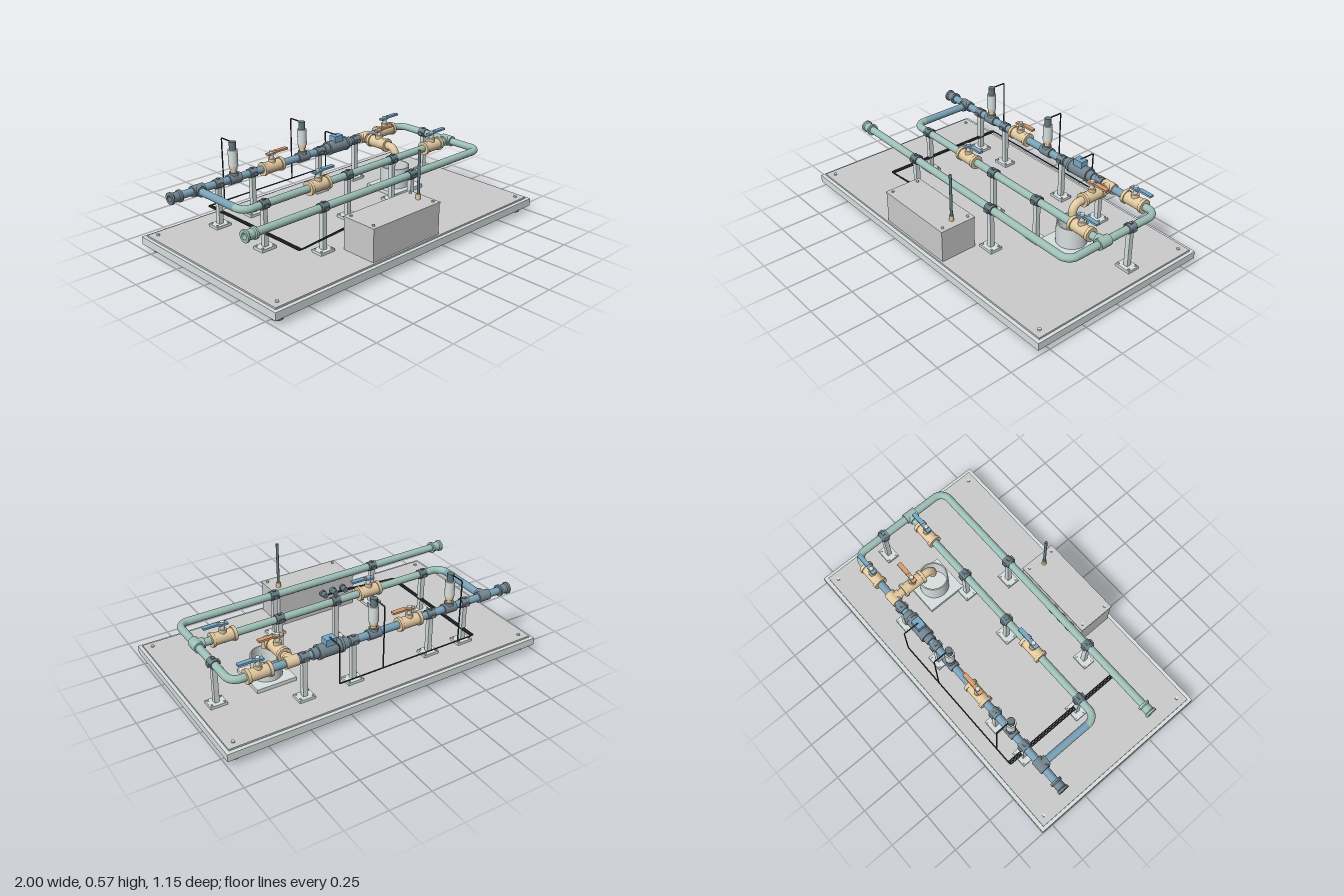
import * as THREE from 'three';

const mat = (color) => new THREE.MeshStandardMaterial({ color });
const M = {
  grey: mat(0xcccccc), light: mat(0xd8e0e0), green: mat(0x9dbfb6), blue: mat(0x7ba2b8),
  tan: mat(0xe2c9a0), slate: mat(0x73858f), dark: mat(0x667880), cable: mat(0x35393c),
  orange: mat(0xd9a070), handle: mat(0x78a9c8),
};
const V = (x, y, z) => new THREE.Vector3(x, y, z);
const UP = V(0, 1, 0);
const PY = 0.347, R = 0.022, FRONT = 0.265, MID = 0.021, BACK = -0.38, RIGHT = 0.865, LEFT = -0.747, TOP = 0.09;

export function createModel() {
  const root = new THREE.Group();

  function add(name, geo, m, parent = root) {
    const mesh = new THREE.Mesh(geo, m);
    mesh.name = name;
    parent.add(mesh);
    return mesh;
  }
  function box(name, w, h, d, x, y, z, m, parent) {
    const b = add(name, new THREE.BoxGeometry(w, h, d), m, parent);
    b.position.set(x, y, z);
    return b;
  }
  // Cylinder between two points
  function rod(name, a, b, r, m, parent, r2 = r, sides = 24) {
    const c = add(name, new THREE.CylinderGeometry(r2, r, a.distanceTo(b), sides), m, parent);
    c.position.copy(a).lerp(b, 0.5);
    c.quaternion.setFromUnitVectors(UP, b.clone().sub(a).normalize());
    return c;
  }
  const alongX = (name, x, z, half, r, m, parent) => rod(name, V(x - half, PY, z), V(x + half, PY, z), r, m, parent);
  const alongZ = (name, x, z, half, r, m, parent) => rod(name, V(x, PY, z - half), V(x, PY, z + half), r, m, parent);
  function group(name, x = 0, y = 0, z = 0) {
    const g = new THREE.Group();
    g.name = name;
    g.position.set(x, y, z);
    root.add(g);
    return g;
  }
  // Straight runs joined by round bends
  function pipe(name, pts, r, bend, m, sides = 24) {
    const g = group(name);
    let start = pts[0];
    for (let i = 1; i < pts.length; i++) {
      if (i === pts.length - 1) { rod(name + 'Run', start, pts[i], r, m, g, r, sides); break; }
      const c = pts[i];
      const u = pts[i - 1].clone().sub(c).normalize(), v = pts[i + 1].clone().sub(c).normalize();
      const a = c.clone().addScaledVector(u, bend), b = c.clone().addScaledVector(v, bend);
      rod(name + 'Run', start, a, r, m, g, r, sides);
      const k = 0.45 * bend;
      const curve = new THREE.CubicBezierCurve3(a, c.clone().addScaledVector(u, k), c.clone().addScaledVector(v, k), b);
      add(name + 'Bend', new THREE.TubeGeometry(curve, sides > 12 ? 14 : 4, r, sides), m, g);
      start = b;
    }
  }

  // Skid: open frame, middle beam, deck plate, feet and bolts
  for (const s of [-1, 1]) {
    box('frameLongRail', 2, 0.045, 0.03, 0, 0.0575, s * 0.5625, M.light);
    box('frameEndRail', 0.03, 0.045, 1.1, s * 0.985, 0.0575, 0, M.light);
    for (const t of [-1, 1]) {
      rod('foot', V(s * 0.935, 0, t * 0.51), V(s * 0.935, 0.036, t * 0.51), 0.032, M.dark);
      rod('footBracket', V(s * 0.935, 0.036, t * 0.51), V(s * 0.935, 0.08, t * 0.51), 0.02, M.dark);
      rod('deckBolt', V(s * 0.935, TOP, t * 0.513), V(s * 0.935, TOP + 0.008, t * 0.513), 0.01, M.light, root, 0.01, 12);
    }
  }
  box('middleBeam', 1.95, 0.04, 0.045, 0, 0.06, 0, M.light);
  box('deckPlate', 1.96, 0.012, 1.11, 0, 0.084, 0, M.grey);

  // Pipe runs
  pipe('returnPipe', [V(-0.9, PY, FRONT), V(RIGHT, PY, FRONT), V(RIGHT, PY, BACK), V(0.76, PY, BACK)], R, 0.06, M.green);
  pipe('middlePipe', [V(RIGHT, PY, MID), V(LEFT, PY, MID), V(LEFT, PY, MID - 0.065)], R, 0.06, M.green);
  rod('crossPipe', V(LEFT, PY, MID - 0.065), V(LEFT, PY, BACK), R, M.blue);
  rod('supplyPipe', V(-0.9, PY, BACK), V(0.66, PY, BACK), R, M.blue);

  // Flared open couplings on the pipe ends
  const flare = [[0.018, 0.03], [0.018, 0], [0.035, 0], [0.035, 0.012], [0.028, 0.018], [0.028, 0.052],
    [0.035, 0.058], [0.035, 0.07], [0.02, 0.07]].map(([r, y]) => new THREE.Vector2(r, y));
  for (const [z, m] of [[FRONT, M.green], [BACK, M.slate]]) {
    const e = add('endCoupling', new THREE.LatheGeometry(flare, 24), m.clone());
    e.material.side = THREE.DoubleSide;
    e.material.flatShading = true;
    e.rotation.z = -Math.PI / 2;
    e.position.set(-0.93, PY, z);
  }

  // Tees
  function tee(x, z, runOnX, dir, m) {
    const g = group('tee');
    (runOnX ? alongX : alongZ)('teeRun', x, z, 0.038, 0.032, m, g);
    const d = runOnX ? V(0, 0, dir) : V(dir, 0, 0);
    const c = V(x, PY, z);
    rod('teeBranch', c, c.clone().addScaledVector(d, 0.042), 0.031, m, g);
  }
  tee(LEFT, BACK, true, 1, M.slate);
  tee(0.52, BACK, true, 1, M.tan);
  tee(RIGHT, MID, false, -1, M.green);

  // Ball valves with lever handles
  function valve(x, z, lever, turned = false) {
    const g = group('ballValve', x, PY, z);
    const body = new THREE.Group();
    body.name = 'valveBody';
    if (turned) body.rotation.y = Math.PI / 2;
    g.add(body);
    rod('valveBarrel', V(-0.06, 0, 0), V(0.06, 0, 0), 0.035, M.tan, body);
    for (const s of [-1, 1]) rod('valveCollar', V(s * 0.054, 0, 0), V(s * 0.073, 0, 0), 0.042, M.tan, body, 0.042, 12);
    rod('valveBonnet', V(0, 0.02, 0), V(0, 0.05, 0), 0.022, M.tan, g);
    rod('valveStem', V(0, 0.05, 0), V(0, 0.095, 0), 0.013, M.light, g);
    box('leverHub', 0.04, 0.011, 0.03, -0.012, 0.079, 0, lever, g);
    const slope = box('leverStep', 0.03, 0.01, 0.026, 0.02, 0.082, 0, lever, g);
    slope.rotation.z = 0.2;
    box('leverGrip', 0.085, 0.012, 0.026, 0.071, 0.086, 0, lever, g);
  }
  valve(-0.225, BACK, M.orange);
  valve(0.71, BACK, M.handle);
  valve(-0.225, MID, M.handle);
  valve(0.71, MID, M.handle);
  valve(0.52, -0.24, M.orange, true);

  // Drain spout, tray and open cup
  pipe('drainSpout', [V(0.52, PY, BACK), V(0.52, PY, -0.1), V(0.52, 0.282, -0.1)], 0.024, 0.045, M.tan);
  box('cupTray', 0.24, 0.023, 0.24, 0.52, 0.1015, -0.1, M.light);
  const cup = [[0, 0.113], [0.088, 0.113], [0.088, 0.238], [0.081, 0.238], [0.081, 0.122], [0, 0.122]];
  const cupMat = M.light.clone();
  cupMat.flatShading = true;
  add('drainCup', new THREE.LatheGeometry(cup.map(([r, y]) => new THREE.Vector2(r, y)), 40), cupMat).position.set(0.52, 0, -0.1);

  // Pipe supports: foot plate, post, clamp
  function support(x, z, onZ, m) {
    const g = group('pipeSupport');
    box('supportPlate', 0.098, 0.016, 0.076, x, TOP + 0.008, z, M.light, g);
    box('supportPost', 0.028, 0.22, 0.028, x, 0.215, z, M.light, g);
    for (const s of [-1, 1]) for (const t of [-1, 1])
      rod('supportBolt', V(x + s * 0.037, 0.1, z + t * 0.026), V(x + s * 0.037, 0.112, z + t * 0.026), 0.006, M.light, g, 0.006, 8);
    (onZ ? alongZ : alongX)('clampRing', x, z, 0.026, 0.028, m, g);
    for (const s of [-1, 1])
      box('clampEar', onZ ? 0.012 : 0.03, 0.02, onZ ? 0.03 : 0.012, x + (onZ ? s * 0.03 : 0), PY, z + (onZ ? 0 : s * 0.03), m, g);
    box('clampTop', 0.018, 0.016, 0.018, x, PY + 0.024, z, m, g);
  }
  for (const x of [-0.61, -0.37, 0.14, 0.445]) support(x, BACK, false, M.slate);
  for (const x of [-0.61, 0, 0.365]) support(x, MID, false, M.dark);
  for (const x of [-0.41, 0.265]) support(x, FRONT, false, M.dark);
  support(RIGHT, -0.18, true, M.slate);

  // Pressure sensors
  const sensors = [-0.5, 0.01];
  for (const x of sensors) {
    const g = group('pressureSensor');
    alongX('sensorTee', x, BACK, 0.04, 0.031, M.slate, g);
    const stack = [['sensorBoss', 0.347, 0.386, 0.028, 0.026, M.slate], ['sensorNipple', 0.386, 0.425, 0.017, 0.017, M.tan],
      ['sensorNut', 0.405, 0.425, 0.024, 0.024, M.tan], ['sensorBody', 0.425, 0.52, 0.028, 0.028, M.light],
      ['sensorCap', 0.52, 0.567, 0.02, 0.02, M.dark]];
    for (const [n, y0, y1, r, r2, m] of stack) rod(n, V(x, y0, BACK), V(x, y1, BACK), r, m, g, r2);
  }

  // Flow meter with head and unions
  const meter = group('flowMeter');
  alongX('meterBody', 0.288, BACK, 0.075, 0.04, M.slate, meter);
  for (const s of [-1, 1]) {
    alongX('meterUnion', 0.288 + s * 0.092, BACK, 0.018, 0.032, M.slate, meter);
    alongX('meterFlange', 0.288 + s * 0.068, BACK, 0.008, 0.043, M.slate, meter);
  }
  box('meterHead', 0.065, 0.05, 0.05, 0.288, 0.393, BACK, M.handle, meter);

  // Control box with lid, bolts, antenna and cable glands
  box('controlBox', 0.51, 0.185, 0.222, -0.058, 0.1825, 0.433, M.grey);
  box('controlBoxLid', 0.516, 0.01, 0.228, -0.058, 0.28, 0.433, M.grey);
  for (const s of [-1, 1]) for (const t of [-1, 1]) {
    const x = -0.058 + s * 0.23, z = 0.433 + t * 0.085;
    rod('lidBolt', V(x, 0.285, z), V(x, 0.293, z), 0.008, M.light, root, 0.008, 10);
  }
  rod('antennaBase', V(0.142, 0.285, 0.435), V(0.142, 0.316, 0.435), 0.014, M.tan);
  rod('antenna', V(0.142, 0.316, 0.435), V(0.142, 0.571, 0.435), 0.008, M.dark);
  const glands = [-0.235, -0.165, -0.095];
  for (const x of glands) {
    rod('cableGland', V(x, 0.224, 0.322), V(x, 0.224, 0.278), 0.017, M.dark);
    rod('glandNut', V(x, 0.224, 0.322), V(x, 0.224, 0.308), 0.021, M.dark, root, 0.021, 6);
  }

  // Cables from the instruments round the back to the glands
  [[sensors[0], 0.566], [sensors[1], 0.566], [0.288, 0.42]].forEach(([x, y], i) => {
    const lane = -0.614 + i * 0.009, z = -0.48;
    pipe('signalCable', [V(x, y - 0.003, BACK), V(x, y - 0.003, z), V(x, 0.18, z), V(lane, 0.18, z),
      V(lane, 0.18, 0.308), V(glands[i], 0.212, 0.308), V(glands[i], 0.218, 0.285)], 0.004, 0.008, M.cable, 8);
  });
  return root;
}
